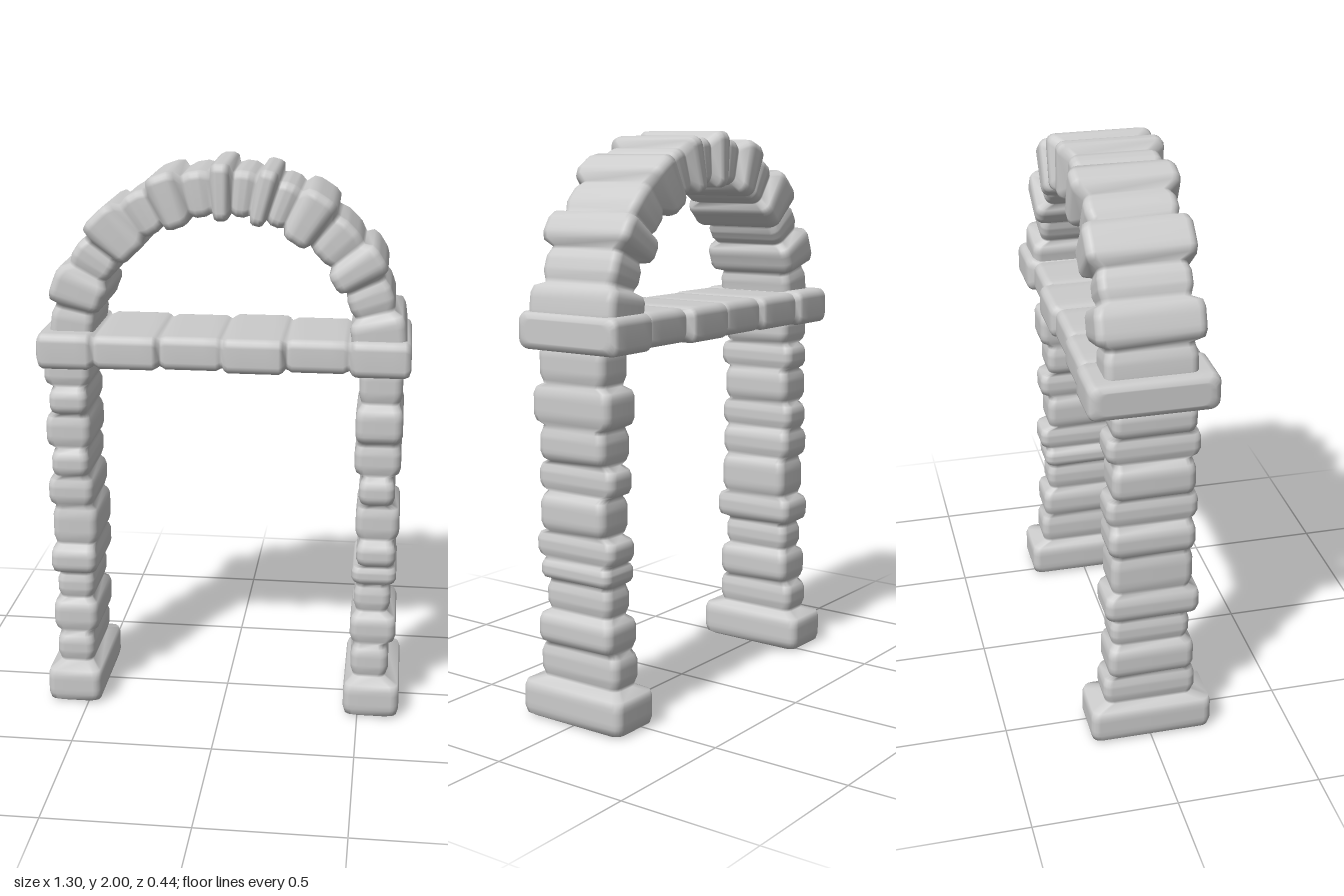
import * as THREE from 'three';

const CORNER = 0.03, ARC = 4;

// Rounded rectangle section, counterclockwise in (u, z)
function section(lo, hi, zb, zf) {
  const pts = [];
  const r = Math.min(CORNER, (hi - lo) * 0.4);
  const corners = [[hi - r, zf - r], [lo + r, zf - r], [lo + r, zb + r], [hi - r, zb + r]];
  corners.forEach(([u, z], c) => {
    for (let i = 0; i <= ARC; i++) {
      const a = (c + i / ARC) * Math.PI / 2;
      pts.push([u + r * Math.cos(a), z + r * Math.sin(a)]);
    }
  });
  return pts;
}

// A run of worn stones as one skin. Each stone is [end, lo, hi, back, front];
// place(t, u) maps the distance along the run and across it to x and y.
function stoneRun(name, start, stones, place, { unit = 1, bevel = 0.028, caps = false } = {}) {
  const rings = [];
  const add = (t, s, inset) => rings.push({
    t, p: section(s[0] + inset, s[1] - inset, s[2] + inset, s[3] - inset),
  });
  let t0 = start;
  stones.forEach((stone, i) => {
    const [t1, ...s] = stone;
    const len = t1 - t0;
    const b = Math.min(bevel / unit, len * 0.3);
    if (i === 0) {
      add(t0, s, 0.022);
      add(t0 + b * 0.3, s, 0.006);
    } else {
      add(t0 + b * 0.4, s, 0.006);
    }
    for (let k = 0; k <= 4; k++) add(t0 + b + (len - 2 * b) * k / 4, s, 0);
    add(t1 - b * 0.4, s, 0.006);
    const next = stones[i + 1];
    if (next) {
      // groove shared with the next stone
      const n = next.slice(1);
      add(t1, [Math.max(s[0], n[0]), Math.min(s[1], n[1]), Math.max(s[2], n[2]), Math.min(s[3], n[3])], 0.009);
    } else add(t1, s, 0.022);
    t0 = t1;
  });
  if (caps) {
    // close both ends by shrinking the end ring to its middle
    const shrink = (ring, k) => {
      const mu = ring.p.reduce((a, q) => a + q[0], 0) / ring.p.length;
      const mz = ring.p.reduce((a, q) => a + q[1], 0) / ring.p.length;
      return { t: ring.t, p: ring.p.map(([u, z]) => [mu + (u - mu) * k, mz + (z - mz) * k]) };
    };
    const first = rings[0], last = rings[rings.length - 1];
    rings.unshift(shrink(first, 0), shrink(first, 0.9));
    rings.push(shrink(last, 0.9), shrink(last, 0));
  }
  const pos = [], index = [], n = rings[0].p.length;
  rings.forEach(({ t, p }, r) => {
    p.forEach(([u, z], j) => {
      pos.push(...place(t, u), z);
      if (r === 0) return;
      const k = (j + 1) % n, a = (r - 1) * n, b = r * n;
      index.push(a + j, b + j, a + k, a + k, b + j, b + k);
    });
  });
  const geo = new THREE.BufferGeometry();
  geo.setAttribute('position', new THREE.Float32BufferAttribute(pos, 3));
  geo.setIndex(index);
  geo.computeVertexNormals();
  const mesh = new THREE.Mesh(geo, new THREE.MeshStandardMaterial({ color: 0xcccccc, side: THREE.DoubleSide }));
  mesh.name = name;
  return mesh;
}

export function createModel() {
  const group = new THREE.Group();
  group.name = 'stoneArchway';
  const upright = (t, u) => [u, t];

  // Pillars, hollow and open underneath
  group.add(stoneRun('leftPillar', 0, [
    [0.14, 0.447, 0.65, -0.215, 0.215],
    [0.265, 0.47, 0.607, -0.17, 0.17],
    [0.385, 0.464, 0.63, -0.16, 0.16],
    [0.495, 0.475, 0.607, -0.14, 0.14],
    [0.57, 0.465, 0.625, -0.15, 0.15],
    [0.665, 0.48, 0.62, -0.165, 0.17],
    [0.8, 0.474, 0.63, -0.135, 0.145],
    [0.905, 0.483, 0.61, -0.16, 0.165],
    [1.03, 0.464, 0.628, -0.135, 0.145],
    [1.17, 0.465, 0.63, -0.16, 0.17],
    [1.31, 0.474, 0.625, -0.135, 0.145],
  ], upright, { bevel: 0.034 }));
  group.add(stoneRun('rightPillar', 0, [
    [0.14, -0.65, -0.45, -0.215, 0.22],
    [0.255, -0.622, -0.482, -0.165, 0.165],
    [0.385, -0.635, -0.468, -0.15, 0.155],
    [0.49, -0.62, -0.483, -0.14, 0.14],
    [0.6, -0.635, -0.466, -0.16, 0.17],
    [0.75, -0.628, -0.462, -0.14, 0.145],
    [0.865, -0.64, -0.474, -0.15, 0.15],
    [0.97, -0.622, -0.485, -0.155, 0.16],
    [1.1, -0.642, -0.478, -0.14, 0.145],
    [1.2, -0.622, -0.483, -0.155, 0.165],
    [1.31, -0.642, -0.474, -0.14, 0.145],
  ], upright, { bevel: 0.034 }));

  // Cross beam, running from +x to -x
  group.add(stoneRun('crossBeam', -0.65, [
    [-0.44, 1.283, 1.411, -0.212, 0.208],
    [-0.22, 1.288, 1.407, -0.19, 0.185],
    [0, 1.284, 1.408, -0.212, 0.208],
    [0.22, 1.286, 1.406, -0.198, 0.19],
    [0.45, 1.286, 1.407, -0.21, 0.208],
    [0.65, 1.283, 1.411, -0.222, 0.216],
  ], (t, u) => [-t, u], { caps: true, bevel: 0.022 }));

  // Arch ring: stone ends in degrees from +x, alternating proud and recessed
  const ends = [14, 26, 38, 51, 64, 72, 79, 87, 94.5, 104, 116, 126, 141, 152, 166, 180];
  const ring = ends.map((deg, i) => {
    const proud = i % 2 === 0;
    const crown = Math.sin(deg * Math.PI / 180) * 0.006;
    const outer = proud ? 0.634 + crown : 0.614 + crown;
    const z = proud ? 0.185 : 0.158;
    return [deg, proud ? 0.446 : 0.46, outer, -z, z - 0.005];
  });
  group.add(stoneRun('archRing', 0, ring, (t, u) => {
    const a = t * Math.PI / 180;
    return [u * Math.cos(a), 1.36 + u * Math.sin(a)];
  }, { unit: 0.545 * Math.PI / 180, bevel: 0.034 }));

  return group;
}
